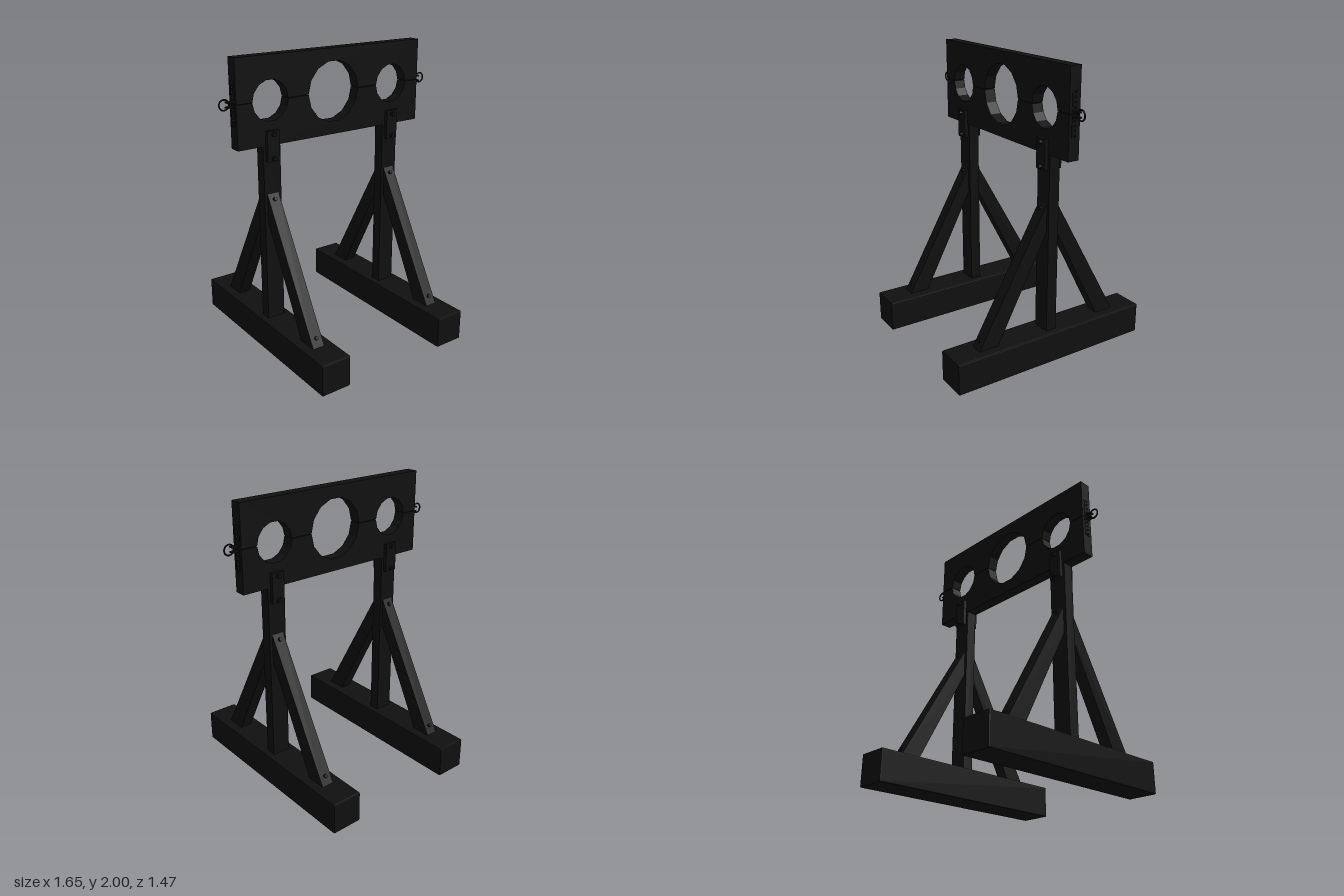
import * as THREE from 'three';
import { RoundedBoxGeometry } from 'three/addons/geometries/RoundedBoxGeometry.js';

const material = new THREE.MeshStandardMaterial({ color: 0x101010, flatShading: true });
const SEAM = 1.717; // height of the split between the two boards
const POST_X = 0.485;

function add(parent, name, geometry, x = 0, y = 0, z = 0) {
  const mesh = new THREE.Mesh(geometry, material);
  mesh.name = name;
  mesh.position.set(x, y, z);
  parent.add(mesh);
  return mesh;
}

const box = (w, h, d) => new THREE.BoxGeometry(w, h, d);

// Bolt head whose axis follows the given direction
function addBolt(parent, position, direction, radius = 0.014, length = 0.022) {
  const bolt = add(parent, 'bolt', new THREE.CylinderGeometry(radius * 0.85, radius, length, 8), ...position);
  bolt.quaternion.setFromUnitVectors(new THREE.Vector3(0, 1, 0), new THREE.Vector3(...direction).normalize());
}

// Half of the neck board, with half-round notches along the seam
function boardHalf(sign, height) {
  const gap = 0.002, sides = 7;
  const shape = new THREE.Shape();
  shape.moveTo(-0.727, sign * height);
  shape.lineTo(-0.727, sign * gap);
  for (const [cx, r] of [[-POST_X, 0.13], [0, 0.2], [POST_X, 0.13]]) {
    for (let i = 0; i <= sides; i++) {
      const a = Math.PI * (1 - i / sides);
      shape.lineTo(cx + r * Math.cos(a), sign * Math.max(gap, r * 1.015 * Math.sin(a)));
    }
  }
  shape.lineTo(0.727, sign * gap);
  shape.lineTo(0.727, sign * height);
  return new THREE.ExtrudeGeometry(shape, { depth: 0.08, bevelEnabled: false }).translate(0, 0, -0.04);
}

// Slanted brace, cut flat at the foot and against the post
function braceGeometry(side) {
  const shape = new THREE.Shape(
    [[0.55, 0.205], [0, 1.175], [0, 0.99], [0.41, 0.205]].map(([z, y]) => new THREE.Vector2(z, y)));
  return new THREE.ExtrudeGeometry(shape, { depth: 0.084, bevelEnabled: false })
    .translate(0, 0, -0.042)
    .rotateY(-side * Math.PI / 2);
}

function createLeg(side) {
  const leg = new THREE.Group();
  leg.name = side > 0 ? 'leftLeg' : 'rightLeg';
  leg.position.x = side * POST_X;
  add(leg, 'footBeam', new RoundedBoxGeometry(0.215, 0.216, 1.47, 1, 0.008), 0, 0.108, 0);
  add(leg, 'post', box(0.126, 1.25, 0.076), 0, 0.825, 0);
  for (const face of [1, -1]) {
    add(leg, 'brace', braceGeometry(face));
    // Bolts through the brace
    addBolt(leg, [0, 0.27, face * 0.515], [0, 0.5, face * 0.87]);
    addBolt(leg, [0, 1.075, face * 0.062], [0, 0.5, face * 0.87]);
    // Strap joining the post to the board
    add(leg, 'strap', box(0.09, 0.2, 0.027), 0, 1.43, face * 0.0505);
    for (const y of [1.35, 1.507]) addBolt(leg, [0, y, face * 0.072], [0, 0, face], 0.017, 0.022);
  }
  return leg;
}

// Metal plates, eye and ring at the end of the board
function createLatch(side) {
  const latch = new THREE.Group();
  latch.name = side > 0 ? 'leftLatch' : 'rightLatch';
  for (const dir of [1, -1]) {
    add(latch, 'latchPlate', box(0.006, 0.13, 0.04), side * 0.728, SEAM + dir * 0.075, 0);
    for (const d of [0.04, 0.07, 0.1, 0.13])
      addBolt(latch, [side * 0.731, SEAM + dir * d, 0], [side, 0, 0], 0.008, 0.012);
    add(latch, 'latchTab', box(0.05, 0.009, 0.03), side * 0.75, SEAM + dir * 0.016, 0);
  }
  add(latch, 'ring', new THREE.TorusGeometry(0.033, 0.0055, 6, 20), side * 0.788, SEAM + 0.002, 0);
  return latch;
}

export function createModel() {
  const model = new THREE.Group();
  model.name = 'pillory';
  add(model, 'upperBoard', boardHalf(1, 2 - SEAM), 0, SEAM, 0);
  add(model, 'lowerBoard', boardHalf(-1, SEAM - 1.43), 0, SEAM, 0);
  for (const side of [1, -1]) model.add(createLeg(side), createLatch(side));
  return model;
}
